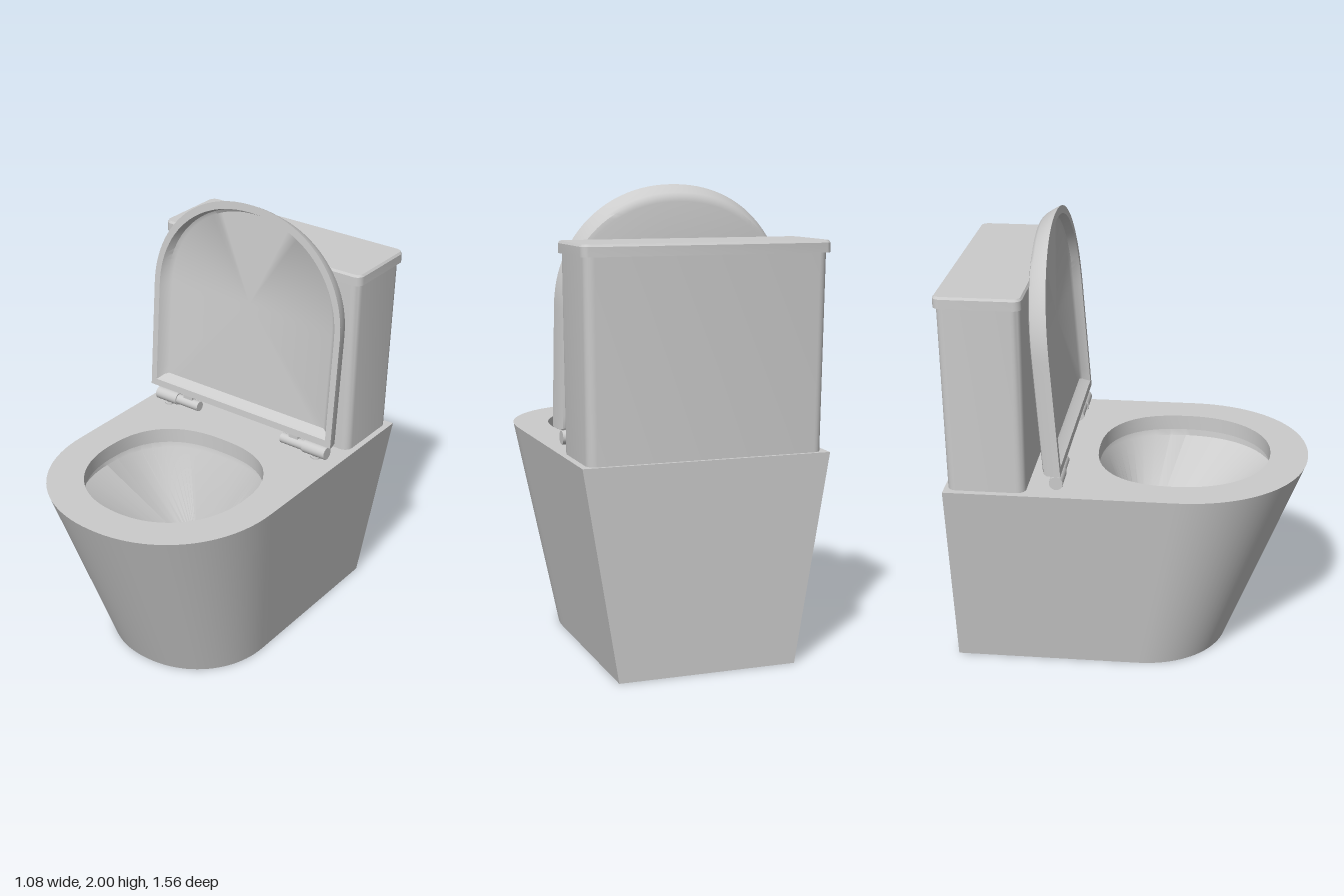
import * as THREE from 'three';
import { toCreasedNormals } from 'three/addons/utils/BufferGeometryUtils.js';

const V = (x, y, z) => new THREE.Vector3(x, y, z);
const spow = (v, e) => Math.sign(v) * Math.abs(v) ** e;

// D-shaped ring: straight back and sides, superelliptic front
function dRing(hw, back, straight, front, y, n = 2.1) {
  const pts = [];
  for (let i = 0; i < 10; i++) pts.push(V(hw, y, back + (straight - back) * i / 10));
  for (let i = 0; i <= 48; i++) {
    const a = Math.PI * i / 48;
    pts.push(V(hw * spow(Math.cos(a), 2 / n), y, straight + (front - straight) * Math.abs(Math.sin(a)) ** (2 / n)));
  }
  for (let i = 9; i >= 0; i--) pts.push(V(-hw, y, back + (straight - back) * i / 10));
  for (let i = 1; i < 16; i++) pts.push(V(-hw + 2 * hw * i / 16, y, back));
  return pts;
}

// Egg-shaped ring sampled at given angles, with separate front and back halves
function eggRing(angles, hw, z, front, back, nFront, nBack, y) {
  return angles.map(a => {
    const c = Math.cos(a), s = Math.sin(a), n = s > 0 ? nFront : nBack;
    const r = (Math.abs(c / hw) ** n + Math.abs(s / (s > 0 ? front : back)) ** n) ** (-1 / n);
    return V(r * c, y, z + r * s);
  });
}

// Rounded rectangle ring
function rectRing(hw, z0, z1, r, y) {
  const pts = [], hd = (z1 - z0) / 2, zc = (z0 + z1) / 2;
  [[1, 1], [-1, 1], [-1, -1], [1, -1]].forEach(([sx, sz], k) => {
    for (let i = 0; i <= 6; i++) {
      const a = Math.PI / 2 * (k + i / 6);
      pts.push(V(sx * (hw - r) + r * Math.cos(a), y, zc + sz * (hd - r) + r * Math.sin(a)));
    }
  });
  return pts;
}

// Skin through rings, closed by a fan at each end
function loft(rings, crease = 0.6) {
  const pos = [], N = rings[0].length;
  const tri = (...p) => p.forEach(v => pos.push(v.x, v.y, v.z));
  const centre = r => r.reduce((s, p) => s.add(p), V(0, 0, 0)).divideScalar(N);
  const first = rings[0], last = rings[rings.length - 1];
  const c0 = centre(first), c1 = centre(last);
  for (let i = 0; i < N; i++) {
    const j = (i + 1) % N;
    tri(c0, first[i], first[j]);
    for (let k = 0; k < rings.length - 1; k++) {
      const p = rings[k], q = rings[k + 1];
      tri(p[i], q[i], q[j]);
      tri(p[i], q[j], p[j]);
    }
    tri(c1, last[j], last[i]);
  }
  const g = new THREE.BufferGeometry();
  g.setAttribute('position', new THREE.Float32BufferAttribute(pos, 3));
  return toCreasedNormals(g, crease);
}

export function createModel() {
  const group = new THREE.Group();
  const mat = new THREE.MeshStandardMaterial({ color: 0xcccccc });
  const add = (name, geo, parent = group) => {
    const m = new THREE.Mesh(geo, mat);
    m.name = name;
    parent.add(m);
    return m;
  };

  // Pedestal and bowl: outer shell, flat rim, lip, undercut, funnel and drain
  const rim = dRing(0.54, -0.78, 0.22, 0.78, 0.9);
  const angles = rim.map(p => Math.atan2(p.z - 0.22, p.x));
  const opening = (grow, y) => eggRing(angles, 0.383 + grow, 0.2, 0.41 + grow, 0.365 + grow, 2.15, 2.4, y);
  const drain = y => eggRing(angles, 0.1, 0.07, 0.12, 0.07, 2.3, 3.5, y);
  add('pedestalBowl', loft([
    dRing(0.39, -0.78, 0.04, 0.43, 0), rim,
    opening(0, 0.9), opening(0, 0.83), opening(0.025, 0.83), opening(0.02, 0.79),
    drain(0.45), drain(0.38),
  ]));

  // Cistern with slight taper, and its lid
  add('cistern', loft([
    rectRing(0.512, -0.765, -0.425, 0.04, 0.9),
    rectRing(0.522, -0.772, -0.42, 0.04, 1.73),
  ]));
  add('cisternLid', loft([
    rectRing(0.535, -0.782, -0.412, 0.035, 1.73),
    rectRing(0.535, -0.782, -0.412, 0.035, 1.77),
    rectRing(0.528, -0.775, -0.419, 0.03, 1.78),
  ]));

  // Raised seat cover: hollow underside, rim and rounded back
  const cover = add('seatCover', loft([
    dRing(0.445, 0.065, 0.52, 0.965, 0.045),
    dRing(0.465, 0.055, 0.52, 0.978, 0.035),
    dRing(0.485, 0.035, 0.52, 0.985, 0),
    dRing(0.515, 0.003, 0.52, 1.02, 0),
    dRing(0.512, 0, 0.52, 1.012, 0.02),
    dRing(0.5, 0, 0.52, 0.99, 0.06),
    dRing(0.492, 0.006, 0.52, 0.977, 0.074),
    dRing(0.475, 0.02, 0.52, 0.955, 0.08),
  ]));
  cover.rotation.x = -Math.PI / 2 - 0.07;
  cover.position.set(0, 0.985, -0.27);

  // Hinges, mirrored left and right
  for (const s of [1, -1]) {
    const hinge = new THREE.Group();
    hinge.name = s > 0 ? 'leftHinge' : 'rightHinge';
    hinge.position.set(0, 0.94, -0.295);
    group.add(hinge);
    const barrel = (name, r, x0, x1) => {
      const m = add(name, new THREE.CylinderGeometry(r, r, x1 - x0, 24), hinge);
      m.rotation.z = Math.PI / 2;
      m.position.x = s * (x0 + x1) / 2;
    };
    barrel('hingeBarrel', 0.03, 0.365, 0.485);
    barrel('hingePin', 0.024, 0.24, 0.365);
    add('hingeTab', new THREE.BoxGeometry(0.05, 0.05, 0.03), hinge).position.set(s * 0.305, 0.03, -0.005);
    add('hingePost', new THREE.CylinderGeometry(0.012, 0.012, 0.04, 16), hinge).position.set(s * 0.425, -0.022, 0);
    add('hingeFoot', new THREE.CylinderGeometry(0.022, 0.022, 0.006, 20), hinge).position.set(s * 0.425, -0.037, 0);
  }
  return group;
}
